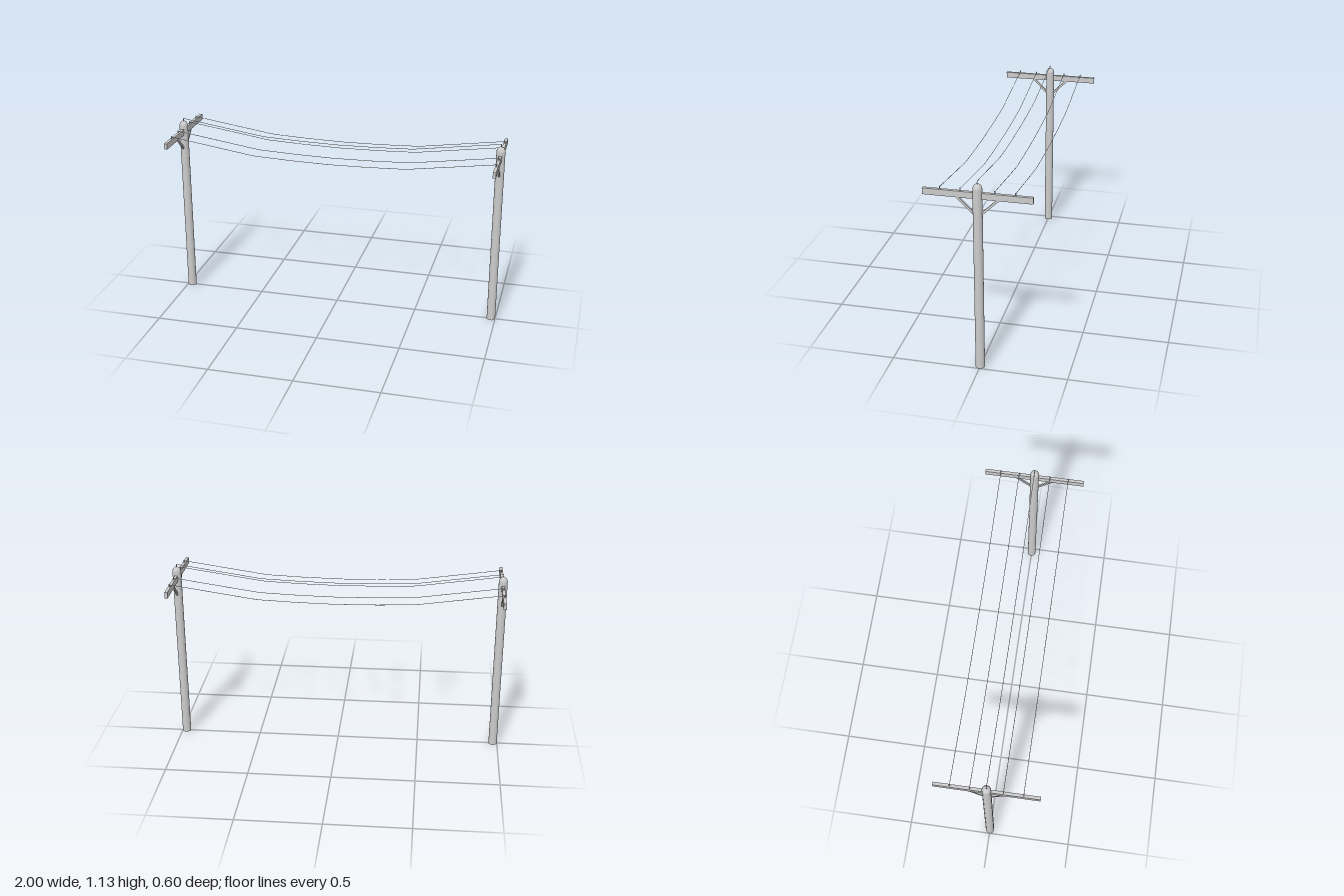
import * as THREE from 'three';

const material = new THREE.MeshStandardMaterial({ color: 0xcccccc });
const POLE_X = 0.974;
const ARM_Z = [-0.204, -0.093, 0.093, 0.204];

function addMesh(parent, name, geometry, x = 0, y = 0, z = 0) {
  const mesh = new THREE.Mesh(geometry, material);
  mesh.name = name;
  mesh.position.set(x, y, z);
  parent.add(mesh);
  return mesh;
}

// Round shaft with a domed top and closed foot
function poleGeometry() {
  const r = 0.026;
  const points = [[0, 0], [r, 0], [r, 0], [r, 1.083]].map(([a, b]) => new THREE.Vector2(a, b));
  for (let i = 1; i <= 5; i++) {
    const a = (i / 5) * Math.PI / 2;
    points.push(new THREE.Vector2(i === 5 ? 0 : r * Math.cos(a), 1.083 + 0.032 * Math.sin(a)));
  }
  return new THREE.LatheGeometry(points, 20);
}

function createPole(x) {
  const pole = new THREE.Group();
  pole.name = 'utilityPole';
  pole.position.x = x;
  addMesh(pole, 'shaft', poleGeometry());
  addMesh(pole, 'crossArm', new THREE.BoxGeometry(0.018, 0.036, 0.596), 0, 1.048, 0);

  // Diagonal braces under the arm
  for (const s of [-1, 1]) {
    const brace = addMesh(pole, 'brace', new THREE.BoxGeometry(0.009, 0.145, 0.013), 0, 0.987, s * 0.066);
    brace.rotation.x = s * 0.8;
  }

  // Insulator pins along the arm
  for (const z of ARM_Z) {
    addMesh(pole, 'insulatorPin', new THREE.CylinderGeometry(0.003, 0.003, 0.018, 8), 0, 1.073, z);
  }
  addMesh(pole, 'topPin', new THREE.CylinderGeometry(0.002, 0.003, 0.022, 8), 0, 1.121, 0);
  return pole;
}

// Sagging wire made of a few straight spans
function wireGeometry(endY) {
  const path = new THREE.CurvePath();
  const half = [[0, 0.088], [0.23, 0.084], [0.46, 0.075], [POLE_X, 0]];
  const points = [
    ...half.slice(1).reverse().map(([x, sag]) => new THREE.Vector3(-x, endY - sag, 0)),
    ...half.map(([x, sag]) => new THREE.Vector3(x, endY - sag, 0)),
  ];
  for (let i = 1; i < points.length; i++) path.add(new THREE.LineCurve3(points[i - 1], points[i]));
  return new THREE.TubeGeometry(path, 48, 0.0015, 6);
}

export function createModel() {
  const group = new THREE.Group();
  group.name = 'utilityLine';
  for (const s of [-1, 1]) group.add(createPole(s * POLE_X));

  // Four arm wires and one over the pole tops
  for (const z of ARM_Z) addMesh(group, 'armWire', wireGeometry(1.078), 0, 0, z);
  addMesh(group, 'topWire', wireGeometry(1.13));
  return group;
}
